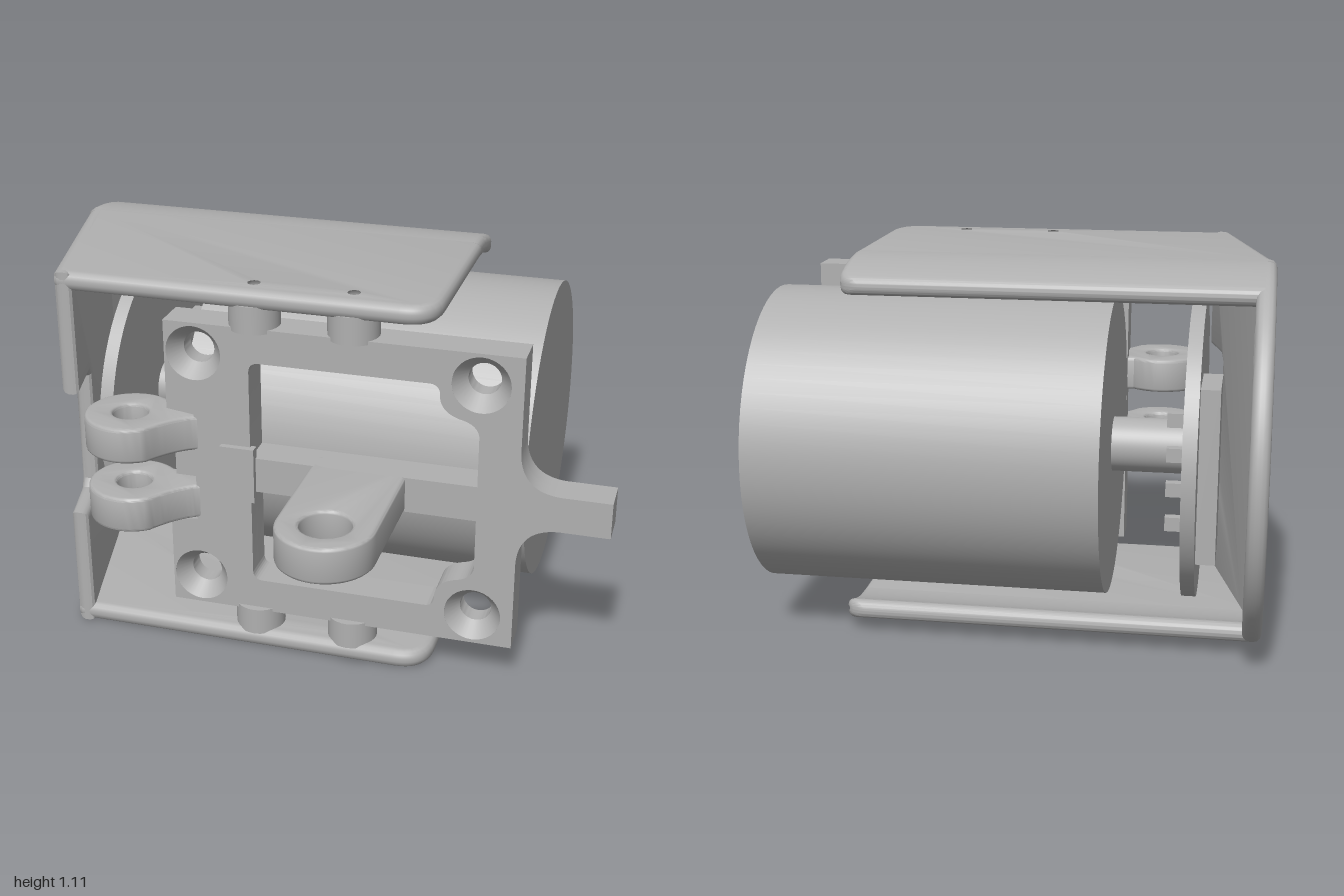
import * as THREE from 'three';
import { toCreasedNormals, mergeVertices } from 'three/addons/utils/BufferGeometryUtils.js';

const grey = new THREE.MeshStandardMaterial({ color: 0xb0b0b0 });
grey.name = 'plain grey';
const linerGrey = grey;

const MID = 0.555;      // height of the motor axis
const AXIS_Z = -0.095;  // depth of the motor axis

export function createModel() {
  const model = new THREE.Group();
  model.name = 'motorMount';
  const body = new THREE.Group();
  body.name = 'body';
  body.rotation.y = 0.426;
  model.add(body);

  const add = (name, geometry) => {
    const mesh = new THREE.Mesh(geometry, grey);
    mesh.name = name;
    body.add(mesh);
    return mesh;
  };

  // Extrusion from z = 0 to z = depth, keeping the outline at its drawn size
  const solid = (shape, depth, bevel = 0) => {
    const g = new THREE.ExtrudeGeometry(shape, {
      depth: depth - 2 * bevel, curveSegments: 20, bevelEnabled: bevel > 0,
      bevelSize: bevel, bevelThickness: bevel, bevelOffset: -bevel, bevelSegments: 3,
    });
    return g.translate(0, 0, bevel);
  };
  const smooth = (g) => toCreasedNormals(g, 0.6);
  // Outline in (x, z), standing from y0 to y1
  const flat = (shape, y0, y1, bevel) =>
    smooth(solid(shape, y1 - y0, bevel).rotateX(Math.PI / 2).translate(0, y1, 0));
  // Outline in (z, y), running from x0 to x1
  const along = (shape, x0, x1, bevel) =>
    solid(shape, x1 - x0, bevel).rotateY(-Math.PI / 2).translate(x1, 0, 0);
  const hole = (x, y, r) => new THREE.Path().absarc(x, y, r, 0, Math.PI * 2, true);
  const polygon = (pts) => new THREE.Shape(pts.map(([x, y]) => new THREE.Vector2(x, y)));
  const box = (name, x0, x1, y0, y1, z0, z1) => add(name,
    new THREE.BoxGeometry(x1 - x0, y1 - y0, z1 - z0)
      .translate((x0 + x1) / 2, (y0 + y1) / 2, (z0 + z1) / 2));
  const disc = (name, r, x0, x1, z = AXIS_Z, y = MID) => add(name,
    new THREE.CylinderGeometry(r, r, x1 - x0, 64)
      .rotateZ(Math.PI / 2).translate((x0 + x1) / 2, y, z));

  // Motor can
  disc('motor', 0.44, -0.36, 0.644);
  disc('motorHub', 0.08, -0.58, -0.35);

  // Round circuit board with its components
  disc('circuitBoard', 0.435, -0.62, -0.58);
  box('boardChip', -0.675, -0.61, 0.3, 0.8, -0.4, -0.2);
  for (const y of [0.4, 0.5, 0.6, 0.7]) box('boardPin', -0.585, -0.53, y - 0.02, y + 0.02, -0.36, -0.33);

  // Side covers: flat front part with screw holes, curved back part
  const postX = [-0.11, 0.17];
  const coverShape = new THREE.Shape();
  coverShape.moveTo(-0.81, -0.12);
  coverShape.lineTo(-0.805, -0.08);
  coverShape.lineTo(-0.675, 0.45);
  coverShape.quadraticCurveTo(-0.67, 0.47, -0.65, 0.47);
  coverShape.lineTo(0.31, 0.47);
  coverShape.quadraticCurveTo(0.41, 0.47, 0.41, 0.36);
  coverShape.lineTo(0.41, -0.12);
  coverShape.closePath();
  for (const x of postX) coverShape.holes.push(hole(x, 0.4, 0.04));
  for (const s of [1, -1]) {
    const y0 = s > 0 ? 1.055 : 0;
    add('coverFlat', flat(coverShape, y0, y0 + 0.055, 0.022));

    const a0 = s * Math.PI / 2, a1 = s * 1.97;
    const arc = new THREE.Shape();
    arc.absarc(AXIS_Z, MID, 0.555, a0, a1, s < 0);
    arc.absarc(AXIS_Z + Math.cos(a1) * 0.5275, MID + Math.sin(a1) * 0.5275, 0.0275, a1, a1 + s * Math.PI, s < 0);
    arc.absarc(AXIS_Z, MID, 0.5, a1, a0, s > 0);
    const g = along(arc, -0.8, 0.41, 0.02);
    // Round off the rear corner
    const p = g.attributes.position;
    for (let i = 0; i < p.count; i++) {
      const d = Math.max(0, p.getZ(i) + 0.33), r = 0.06;
      if (p.getX(i) > 0 && d < r) p.setX(i, p.getX(i) - r + Math.sqrt(r * r - (r - d) ** 2));
    }
    add('coverCurve', smooth(g));
  }

  // End wall: round at the back, slanted and notched at the front
  const round = new THREE.Shape();
  round.absarc(AXIS_Z, MID, 0.555, Math.PI / 2, Math.PI * 1.5, false);
  round.lineTo(-0.08, 0);
  round.lineTo(-0.08, 1.11);
  round.closePath();
  add('endWallRound', smooth(along(round, -0.812, -0.757, 0.022)));
  const slant = along(polygon([[-0.12, 0], [0.47, 0], [0.47, 0.365], [0.31, 0.365], [0.29, 0.385],
    [0.29, 0.725], [0.31, 0.745], [0.47, 0.745], [0.47, 1.11], [-0.12, 1.11]]), -0.812, -0.757, 0.02);
  const sp = slant.attributes.position;
  for (let i = 0; i < sp.count; i++) sp.setX(i, sp.getX(i) + 0.25 * Math.max(0, sp.getZ(i) + 0.1));
  add('endWallSlant', smooth(slant));

  // Front bracket in two layers: window, countersunk screws and a side arm
  const screws = [];
  for (const x of [-0.275, 0.53]) for (const y of [0.205, 0.905]) screws.push([x, y]);
  const bracketLayer = (screwR, notched) => {
    const s = new THREE.Shape();
    s.moveTo(-0.36, 0.115);
    s.lineTo(0.644, 0.115);
    s.lineTo(0.644, 0.39);
    s.quadraticCurveTo(0.65, 0.5, 0.76, 0.503);
    s.lineTo(0.895, 0.503);
    s.lineTo(0.895, 0.607);
    s.lineTo(0.76, 0.607);
    s.quadraticCurveTo(0.65, 0.61, 0.644, 0.72);
    s.lineTo(0.644, 0.995);
    s.lineTo(-0.36, 0.995);
    if (notched) for (const [x, y] of [[-0.36, 0.73], [-0.28, 0.72], [-0.28, 0.39], [-0.36, 0.38]]) s.lineTo(x, y);
    s.closePath();
    // Windows above and below the middle bar
    for (const k of [1, -1]) {
      const w = new THREE.Path();
      w.moveTo(-0.115, MID + k * 0.052);
      w.lineTo(0.53, MID + k * 0.052);
      w.lineTo(0.53, MID + k * 0.2);
      w.quadraticCurveTo(0.525, MID + k * 0.235, 0.48, MID + k * 0.245);
      w.quadraticCurveTo(0.42, MID + k * 0.26, 0.42, MID + k * 0.31);
      w.quadraticCurveTo(0.42, MID + k * 0.34, 0.39, MID + k * 0.34);
      w.lineTo(-0.085, MID + k * 0.34);
      w.quadraticCurveTo(-0.115, MID + k * 0.34, -0.115, MID + k * 0.31);
      w.closePath();
      s.holes.push(w);
    }
    for (const [x, y] of screws) s.holes.push(hole(x, y, screwR));
    return s;
  };
  add('bracketBack', smooth(solid(bracketLayer(0.045, false), 0.053).translate(0, 0, 0.347)));
  add('bracketFront', smooth(solid(bracketLayer(0.08, true), 0.05).translate(0, 0, 0.4)));
  // Countersink cones, facing inwards
  for (const [x, y] of screws) {
    const cone = new THREE.LatheGeometry([new THREE.Vector2(0.08, 0.05), new THREE.Vector2(0.045, 0)], 32);
    add('countersink', cone.rotateX(Math.PI / 2).translate(x, y, 0.4));
  }
  box('bracketPad', -0.2, -0.1, 0.475, 0.64, 0.44, 0.468);

  // Posts joining the bracket to the covers
  for (const x of postX) for (const y of [0.085, 1.025]) {
    add('coverPost', new THREE.CylinderGeometry(0.072, 0.072, 0.08, 32).translate(x, y, 0.4));
  }

  // Front lug with a pin hole
  const lug = new THREE.Shape();
  lug.moveTo(0.06, 0.38);
  lug.lineTo(0.33, 0.38);
  lug.lineTo(0.33, 0.76);
  lug.absarc(0.195, 0.76, 0.135, 0, Math.PI, false);
  lug.closePath();
  lug.holes.push(hole(0.195, 0.76, 0.07));
  add('frontLug', flat(lug, 0.503, 0.607, 0.01));

  // Pair of hinge knuckles
  const knuckle = new THREE.Shape();
  knuckle.absarc(-0.463, 0.465, 0.13, 0.87, Math.PI * 2 - 0.87, false);
  knuckle.lineTo(-0.27, 0.36);
  knuckle.lineTo(-0.27, 0.45);
  knuckle.quadraticCurveTo(-0.33, 0.48, -0.379, 0.564);
  knuckle.holes.push(hole(-0.463, 0.465, 0.05));
  for (const y of [0.395, 0.61]) add('hingeKnuckle', flat(knuckle, y, y + 0.105, 0.01));

  // Make every face of the thin cones visible
  body.children.filter((m) => m.name === 'countersink').forEach((m) => {
    m.material = linerGrey;
    m.geometry = mergeVertices(m.geometry);
  });
  grey.side = THREE.DoubleSide;
  return model;
}
